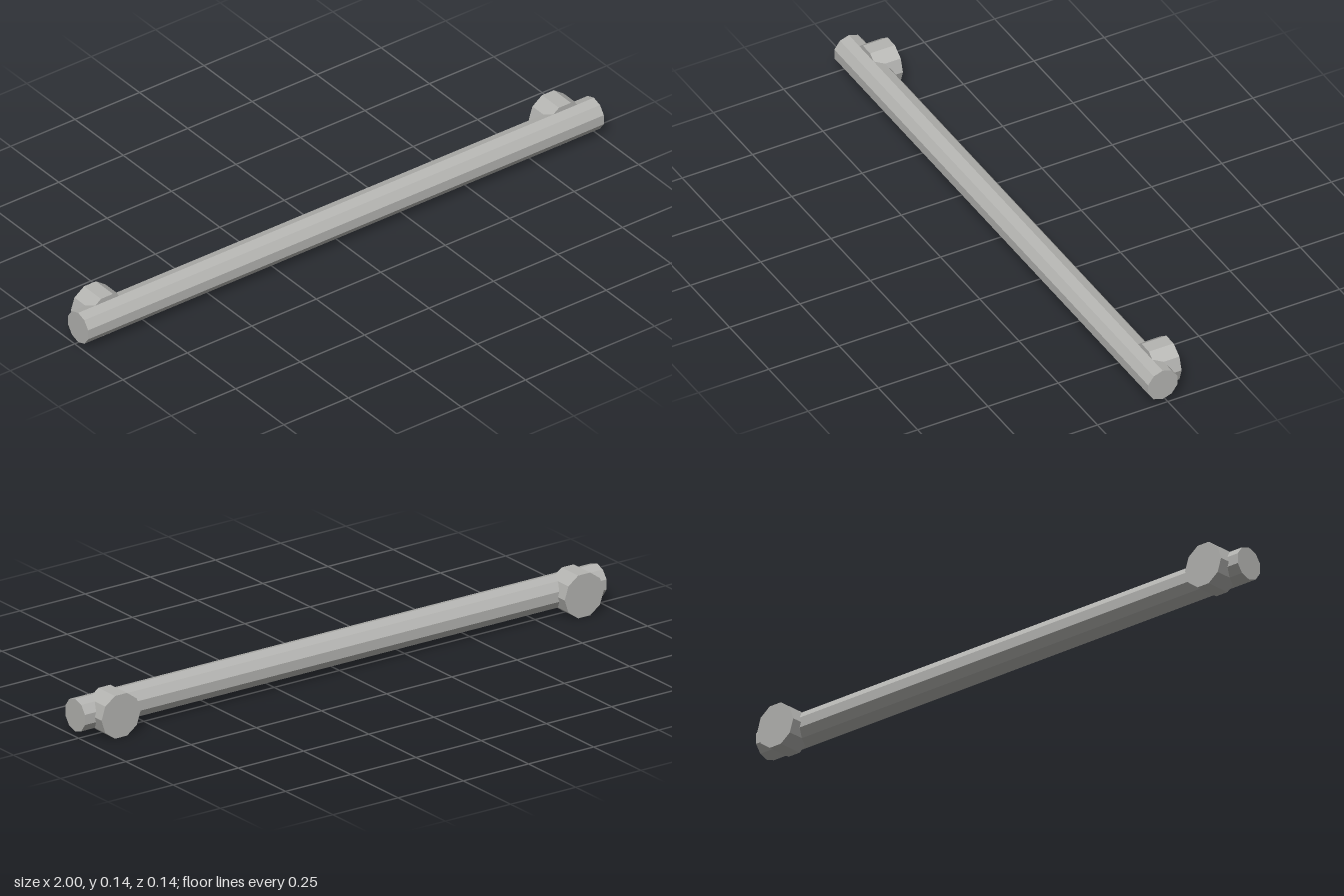
import * as THREE from 'three';

export function createModel() {
  const group = new THREE.Group();
  const metal = new THREE.MeshStandardMaterial({ color: 0xb4b4b1, flatShading: true });
  metal.name = 'brushed grey metal';

  // Ten-sided rod along y, with corners on its local x axis
  const rod = (radius, length) =>
    new THREE.CylinderGeometry(radius, radius, length, 10, 1, false, Math.PI / 2);

  // Long horizontal grip bar
  const bar = new THREE.Mesh(rod(0.0545, 2).rotateZ(Math.PI / 2), metal);
  bar.name = 'gripBar';
  bar.position.set(0, 0.071, 0.018);
  group.add(bar);

  // Short, thicker standoffs behind the bar, reaching to its axis
  for (const side of [-1, 1]) {
    const mount = new THREE.Mesh(rod(0.0747, 0.088).rotateX(Math.PI / 2), metal);
    mount.name = side > 0 ? 'leftMount' : 'rightMount';
    mount.position.set(side * 0.888, 0.071, -0.026);
    group.add(mount);
  }
  return group;
}
